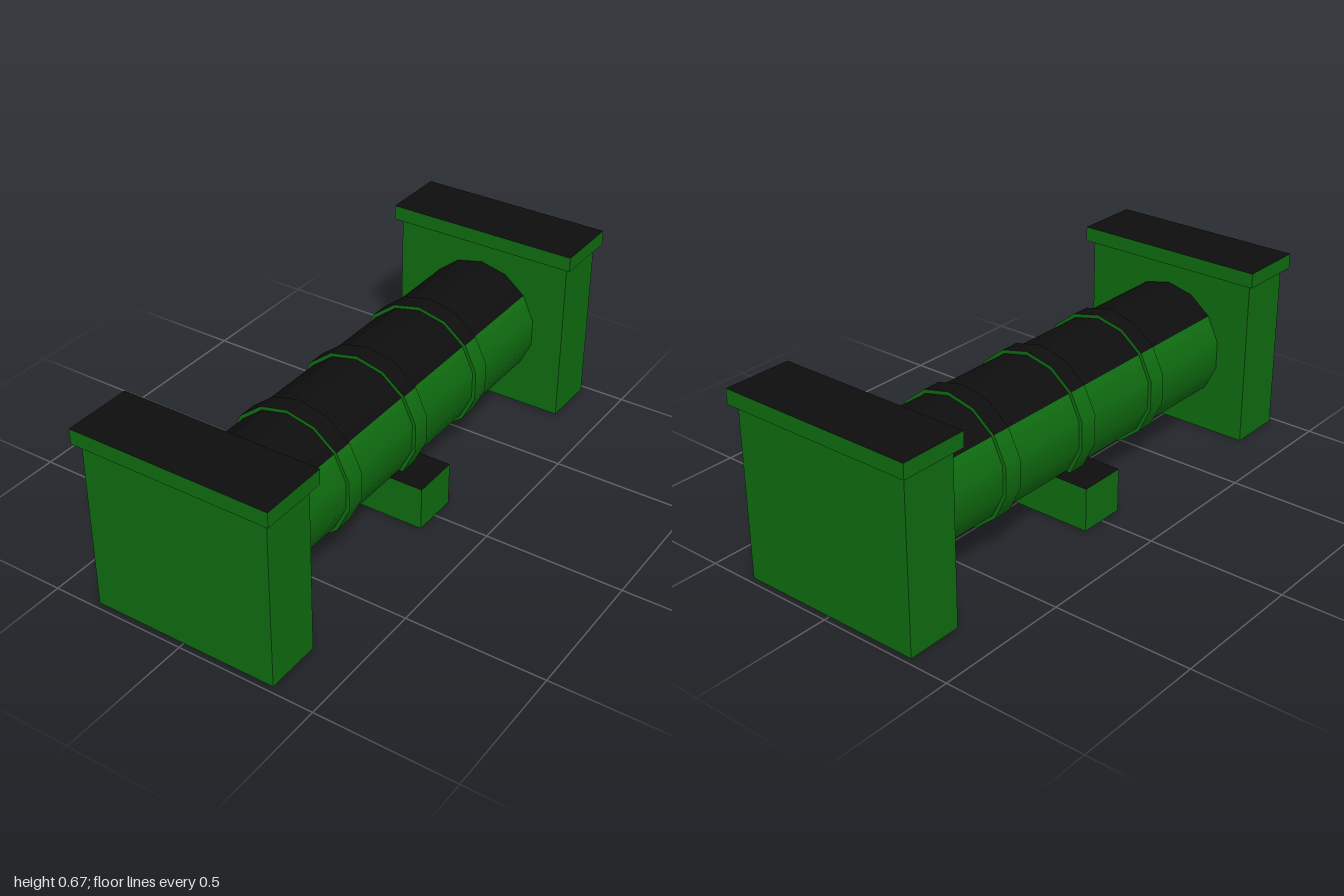
import * as THREE from 'three';

const green = new THREE.MeshStandardMaterial({ color: 0x0f6c10 });
green.name = 'green';
const black = new THREE.MeshStandardMaterial({ color: 0x0e0e0e });
black.name = 'black';

// Faces that point mostly up or down are black, all others green.
function paintByDirection(geometry) {
  const pos = geometry.attributes.position;
  const index = geometry.index;
  const corners = [new THREE.Vector3(), new THREE.Vector3(), new THREE.Vector3()];
  const normal = new THREE.Vector3();
  geometry.clearGroups();
  for (let i = 0; i < index.count; i += 3) {
    corners.forEach((c, k) => c.fromBufferAttribute(pos, index.getX(i + k)));
    new THREE.Triangle(...corners).getNormal(normal);
    geometry.addGroup(i, 3, Math.abs(normal.y) > 0.7 ? 1 : 0);
  }
  return geometry;
}

function addPart(parent, name, geometry, y, z) {
  const mesh = new THREE.Mesh(paintByDirection(geometry), [green, black]);
  mesh.name = name;
  mesh.position.set(0, y, z);
  parent.add(mesh);
}

// Fourteen-sided cylinder lying along z.
function barrel(radius, length, open) {
  return new THREE.CylinderGeometry(radius, radius, length, 14, 1, open).rotateX(Math.PI / 2);
}

export function createModel() {
  const model = new THREE.Group();
  model.name = 'pipeline';
  const axisY = 0.31;

  // Pipe between the two end walls
  addPart(model, 'pipe', barrel(0.227, 1.56, true), axisY, 0);

  // Raised bands around the pipe
  for (const z of [-0.385, 0, 0.385]) {
    addPart(model, 'band', barrel(0.24, 0.07, false), axisY, z);
  }

  // Support block under the middle
  addPart(model, 'supportBlock', new THREE.BoxGeometry(0.592, 0.16, 0.177), 0.08, 0);

  // End walls with overhanging caps
  for (const side of [1, -1]) {
    const end = new THREE.Group();
    end.name = side > 0 ? 'frontEnd' : 'backEnd';
    addPart(end, 'wall', new THREE.BoxGeometry(0.682, 0.616, 0.204), 0.308, side * 0.876);
    addPart(end, 'cap', new THREE.BoxGeometry(0.726, 0.054, 0.248), 0.643, side * 0.876);
    model.add(end);
  }
  return model;
}
